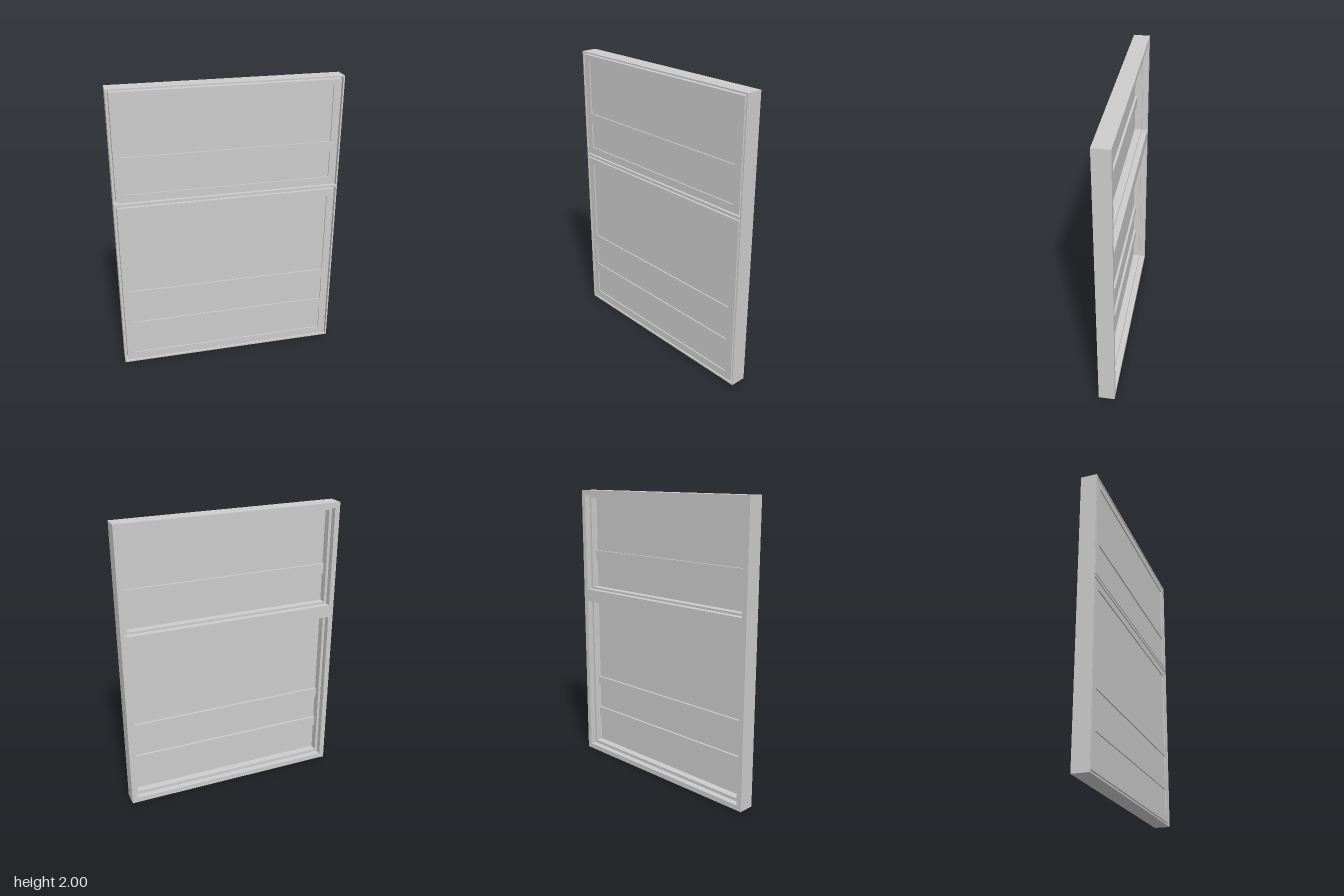
import * as THREE from 'three';

const mat = new THREE.MeshStandardMaterial({ color: 0xcccccc });
const glassMat = new THREE.MeshStandardMaterial({ color: 0xcccccc });

// Rectangles are [halfWidth, yBottom, yTop]
function trace(path, [w, y0, y1]) {
  path.moveTo(-w, y0);
  path.lineTo(w, y0);
  path.lineTo(w, y1);
  path.lineTo(-w, y1);
  path.closePath();
  return path;
}

// Flat plate with rectangular holes, spanning z0..z1
function plate(name, outer, holes, z0, z1) {
  const shape = trace(new THREE.Shape(), outer);
  holes.forEach(h => shape.holes.push(trace(new THREE.Path(), h)));
  const geo = new THREE.ExtrudeGeometry(shape, { depth: z1 - z0, bevelEnabled: false });
  geo.translate(0, 0, z0);
  const mesh = new THREE.Mesh(geo, mat);
  mesh.name = name;
  return mesh;
}

function box(name, w, y0, y1, z0, z1, material = mat) {
  const mesh = new THREE.Mesh(new THREE.BoxGeometry(2 * w, y1 - y0, z1 - z0), material);
  mesh.position.set(0, (y0 + y1) / 2, (z0 + z1) / 2);
  mesh.name = name;
  return mesh;
}

const BACK = -0.056, STEP = -0.015, FRONT = 0.056;
const GLASS_BACK = 0.036, GLASS_FRONT = 0.046;

// Sash: stepped surround, cross bars and recessed panes
function sash(name, y0, y1, panes) {
  const group = new THREE.Group();
  group.name = name;
  const outer = [0.75, y0, y1];
  const inner = [0.715, y0 + 0.037, y1 - 0.035];
  group.add(plate('sashSurround', outer, [inner], STEP, GLASS_BACK));
  group.add(plate('sashFace', outer, panes.map(p => [0.7, ...p]), GLASS_BACK, FRONT - 0.001));
  // rear halves of the cross bars
  for (let i = 0; i < panes.length - 1; i++) {
    group.add(box('crossBar', 0.715, panes[i][1], panes[i + 1][0], GLASS_BACK - 0.016, GLASS_BACK));
  }
  panes.forEach(p => group.add(box('glassPane', 0.7, p[0], p[1], GLASS_BACK, GLASS_FRONT, glassMat)));
  return group;
}

export function createModel() {
  const model = new THREE.Group();
  model.name = 'window';

  // Outer frame: wide rear rebate and thin front lip around each sash
  const frame = new THREE.Group();
  frame.name = 'frame';
  const outline = [0.77, 0, 2];
  frame.add(plate('frameRear', outline, [[0.734, 0.036, 1.184], [0.734, 1.274, 1.964]], BACK, STEP));
  frame.add(plate('frameFront', outline, [[0.76, 0.011, 1.223], [0.76, 1.242, 1.99]], STEP, FRONT));
  model.add(frame);

  model.add(sash('lowerSash', 0.021, 1.213, [[0.075, 0.255], [0.33, 0.51], [0.58, 1.165]]));
  model.add(sash('upperSash', 1.252, 1.98, [[1.305, 1.49], [1.56, 1.932]]));
  return model;
}
